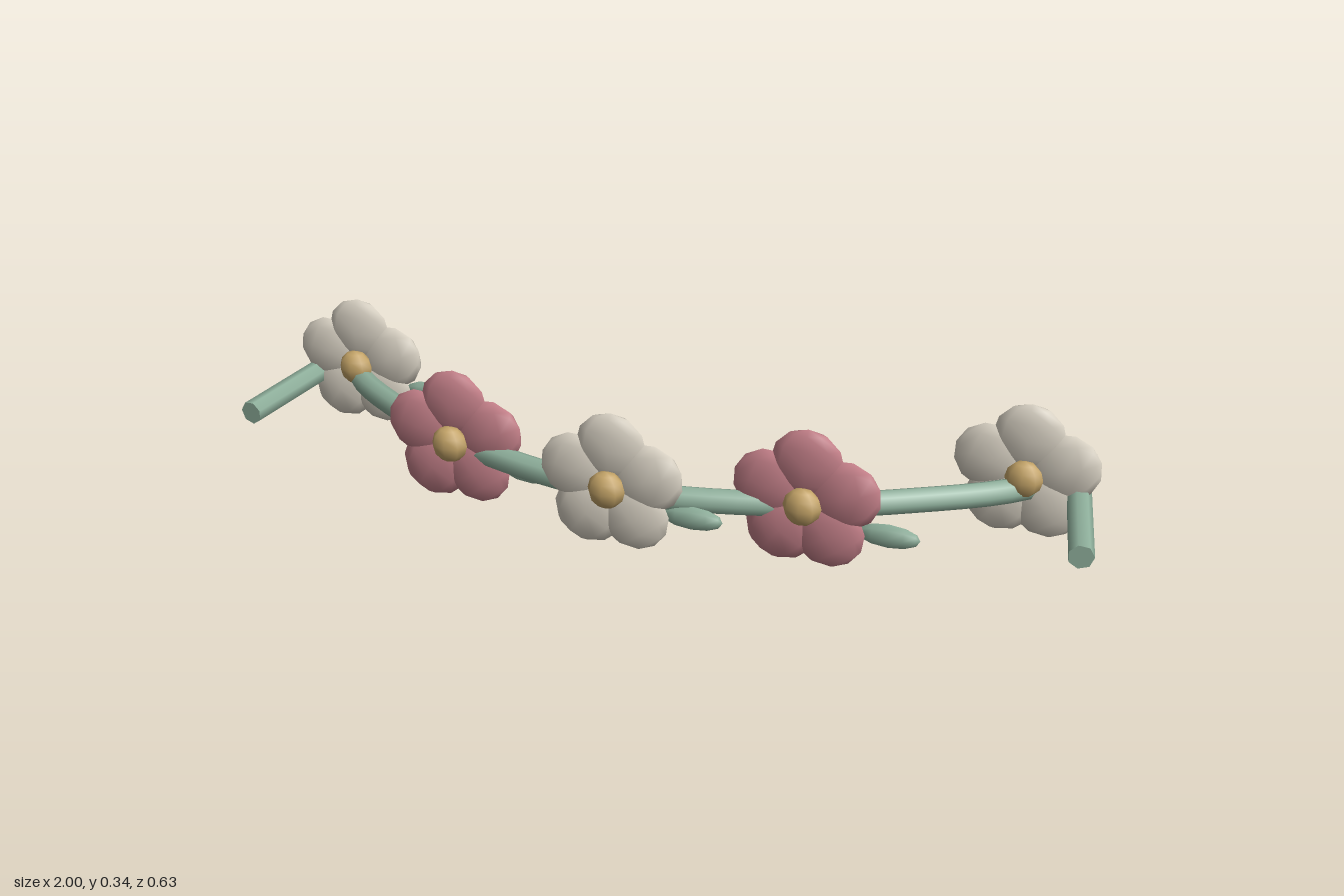
import * as THREE from 'three';

const mat = (color) => new THREE.MeshStandardMaterial({ color });

export function createModel() {
  const model = new THREE.Group();
  const green = mat(0x8fb09c), cream = mat(0xd9d2c4), pink = mat(0xc48089), gold = mat(0xc4a468);
  const add = (parent, name, geometry, material) => {
    const mesh = new THREE.Mesh(geometry, material);
    mesh.name = name;
    parent.add(mesh);
    return mesh;
  };
  const V = (x, y, z) => new THREE.Vector3(x, y, z);
  const R = 0.028;

  // Curved vine carrying the flowers
  const endL = V(-0.908, 0.116, -0.295), endR = V(0.903, 0.116, -0.27);
  const curve = new THREE.CatmullRomCurve3([
    endL, V(-0.8, 0.127, -0.13), V(-0.62, 0.139, 0.015), V(-0.4, 0.148, 0.14),
    V(0, 0.152, 0.232),
    V(0.4, 0.148, 0.145), V(0.62, 0.139, 0.025), V(0.8, 0.127, -0.115), endR,
  ]);
  add(model, 'vineBand', new THREE.TubeGeometry(curve, 40, R, 8, false), green);

  // Straight arms folding forward from each end of the vine
  const arm = (name, from, to) => {
    const dir = to.clone().sub(from);
    const mesh = add(model, name, new THREE.CylinderGeometry(R, R, dir.length(), 7), green);
    mesh.position.copy(from).add(to).multiplyScalar(0.5);
    mesh.quaternion.setFromUnitVectors(V(0, 1, 0), dir.normalize());
  };
  arm('rightArm', V(-0.908, 0.116, -0.305), V(-0.97, 0.111, 0.102));
  arm('leftArm', V(0.903, 0.116, -0.28), V(0.97, 0.111, 0.102));

  // Five-petalled flowers with a domed heart
  const petalGeo = new THREE.SphereGeometry(1, 8, 6);
  petalGeo.scale(0.08, 0.08, 0.026);
  petalGeo.translate(0, 0.085, 0);
  const heartGeo = new THREE.SphereGeometry(0.042, 8, 6);
  heartGeo.scale(1, 1, 0.75);
  const flower = (x, y, z, color) => {
    const group = new THREE.Group();
    group.name = 'flower';
    group.position.set(x, y, z);
    for (let i = 0; i < 5; i++) {
      add(group, 'petal', petalGeo, color).rotation.z = (i * Math.PI * 2) / 5;
    }
    add(group, 'flowerHeart', heartGeo, gold).position.z = 0.03;
    model.add(group);
  };
  flower(-0.81, 0.157, -0.155, cream);
  flower(-0.405, 0.175, 0.168, pink);
  flower(0, 0.18, 0.255, cream);
  flower(0.405, 0.175, 0.176, pink);
  flower(0.81, 0.157, -0.139, cream);

  // Small leaves between the flowers
  const leafGeo = new THREE.SphereGeometry(1, 8, 6);
  leafGeo.rotateZ(Math.PI / 2);
  leafGeo.scale(0.068, 0.028, 0.019);
  for (const [x, y, z] of [
    [-0.635, 0.095, -0.174], [-0.23, 0.112, 0.15], [0.175, 0.12, 0.237], [0.58, 0.113, 0.157],
  ]) {
    add(model, 'leaf', leafGeo, green).position.set(x, y, z);
  }
  return model;
}
